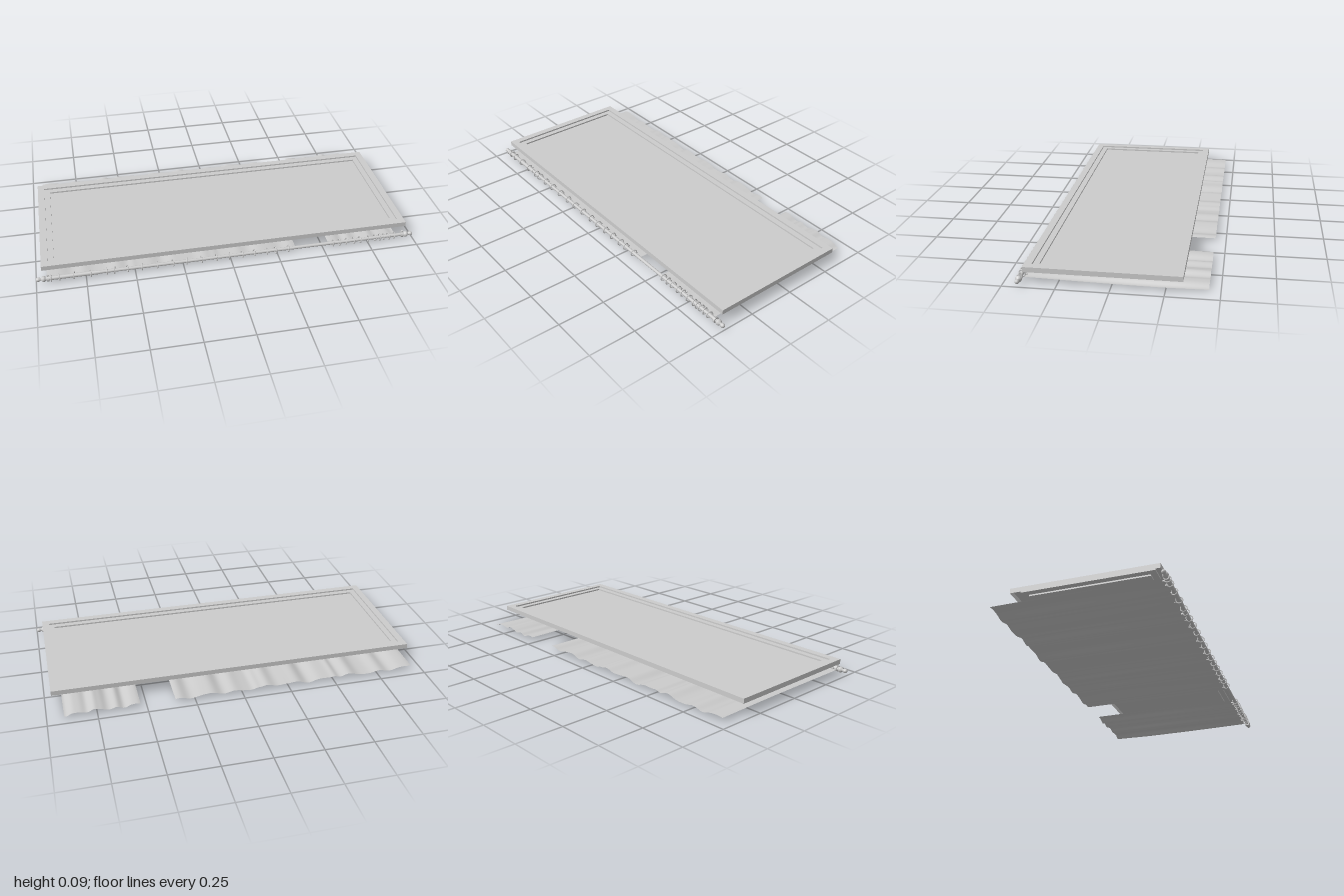
import * as THREE from 'three';

const material = new THREE.MeshStandardMaterial({ color: 0xcccccc, side: THREE.DoubleSide });
const ROD_Y = 0.027, ROD_Z = 0.427;

function addMesh(parent, geometry, name) {
  const mesh = new THREE.Mesh(geometry, material);
  mesh.name = name;
  parent.add(mesh);
  return mesh;
}

// Open-backed window shell: rectangular loops stepping inwards, closed by a pane
function windowGeometry() {
  const [x0, x1, z0, z1] = [-0.968, 0.965, -0.332, 0.408];
  const steps = [[0, 0.065], [0, 0.09], [0.036, 0.09], [0.036, 0.082], [0.066, 0.082], [0.066, 0.074]];
  const loops = steps.map(([i, y]) => [
    [x0 + i, y, z1 - i], [x1 - i, y, z1 - i], [x1 - i, y, z0 + i], [x0 + i, y, z0 + i],
  ]);
  const points = [];
  const quad = (a, b, c, d) => points.push(...a, ...b, ...c, ...a, ...c, ...d);
  for (let s = 0; s < loops.length - 1; s++) {
    for (let k = 0; k < 4; k++) {
      const n = (k + 1) % 4;
      quad(loops[s][k], loops[s][n], loops[s + 1][n], loops[s + 1][k]);
    }
  }
  quad(...loops[loops.length - 1]);
  const geometry = new THREE.BufferGeometry();
  geometry.setAttribute('position', new THREE.Float32BufferAttribute(points, 3));
  geometry.computeVertexNormals();
  return geometry;
}

// Cloth sheet with folds that swell away from the rod
function curtainGeometry(x0, x1, pitch, creases) {
  const front = 0.412, back = -0.446;
  const geometry = new THREE.PlaneGeometry(x1 - x0, front - back, Math.round((x1 - x0) * 150), 16);
  geometry.rotateX(-Math.PI / 2);
  geometry.translate((x0 + x1) / 2, 0, (front + back) / 2);
  const p = geometry.attributes.position;
  for (let i = 0; i < p.count; i++) {
    const x = p.getX(i);
    const t = (front - p.getZ(i)) / (front - back);
    const a = (x - x0) / pitch * Math.PI * 2;
    let wave = 0.5 * Math.sin(a) + 0.3 * Math.sin(a * 0.43 + 1) + 0.15 * Math.sin(a * 1.7 + 2) - 0.1;
    for (const c of creases) wave += 0.6 * Math.exp(-(((x - c) / 0.02) ** 2));
    const swell = 0.006 + 0.01 * Math.sin(Math.min(t / 0.75, 1) * Math.PI / 2) - 0.004 * Math.max(0, t - 0.75) * 4;
    p.setY(i, 0.021 - 0.004 * Math.max(0, t - 0.6) + swell * THREE.MathUtils.clamp(wave, -1.1, 1.05));
  }
  geometry.computeVertexNormals();
  return geometry;
}

// Cylinder lying along x
function barGeometry(radius, x0, x1) {
  return new THREE.CylinderGeometry(radius, radius, x1 - x0, 20)
    .rotateZ(Math.PI / 2).translate((x0 + x1) / 2, ROD_Y, ROD_Z);
}

export function createModel() {
  const model = new THREE.Group();
  model.name = 'windowWithCurtains';

  addMesh(model, windowGeometry(), 'windowFrame');
  addMesh(model, curtainGeometry(-0.945, 0.352, 0.155, [-0.51, -0.08]), 'wideCurtain');
  addMesh(model, curtainGeometry(0.532, 0.914, 0.1, [0.725]), 'narrowCurtain');

  // Telescoping rod
  const rod = new THREE.Group();
  rod.name = 'curtainRod';
  model.add(rod);
  addMesh(rod, barGeometry(0.0105, -0.96, -0.68), 'outerTube');
  addMesh(rod, barGeometry(0.0085, -0.68, 0.96), 'innerTube');

  // Turned finials and brackets at both ends
  const profile = [[0, 0.05], [0.007, 0.049], [0.011, 0.043], [0.011, 0.034], [0.007, 0.027],
    [0.007, 0.023], [0.014, 0.019], [0.016, 0.012], [0.014, 0.005], [0.009, 0], [0, 0]]
    .reverse().map(([r, y]) => new THREE.Vector2(r, y));
  for (const side of [-1, 1]) {
    const finial = addMesh(rod, new THREE.LatheGeometry(profile, 20), 'finial');
    finial.rotation.z = -side * Math.PI / 2;
    finial.position.set(side * 0.95, ROD_Y, ROD_Z);

    const collar = addMesh(rod, barGeometry(0.015, -0.006, 0.006), 'bracketCollar');
    collar.position.x = side * 0.94;
    const screw = addMesh(rod, new THREE.CylinderGeometry(0.005, 0.005, 0.012, 12), 'bracketScrew');
    screw.position.set(side * 0.94, ROD_Y + 0.018, ROD_Z);
  }

  // Hanging rings, each turned a little differently
  const rings = [-0.925, -0.885, -0.81, -0.727, -0.645, -0.605, -0.54, -0.465, -0.385, -0.305, -0.232,
    -0.155, -0.077, -0.008, 0.06, 0.125, 0.195, 0.24, 0.31,
    0.555, 0.59, 0.628, 0.67, 0.705, 0.75, 0.79, 0.815, 0.838, 0.865, 0.897];
  const ringGeometry = new THREE.TorusGeometry(0.0165, 0.0028, 8, 24).rotateY(Math.PI / 2);
  const clipGeometry = new THREE.BoxGeometry(0.006, 0.007, 0.012);
  rings.forEach((x, i) => {
    const ring = addMesh(rod, ringGeometry, 'curtainRing');
    ring.position.set(x, ROD_Y, ROD_Z);
    ring.rotation.y = 0.2 * Math.sin(i * 2.3);
    const clip = addMesh(rod, clipGeometry, 'ringClip');
    clip.position.set(x, ROD_Y - 0.006, ROD_Z - 0.018);
  });

  return model;
}
